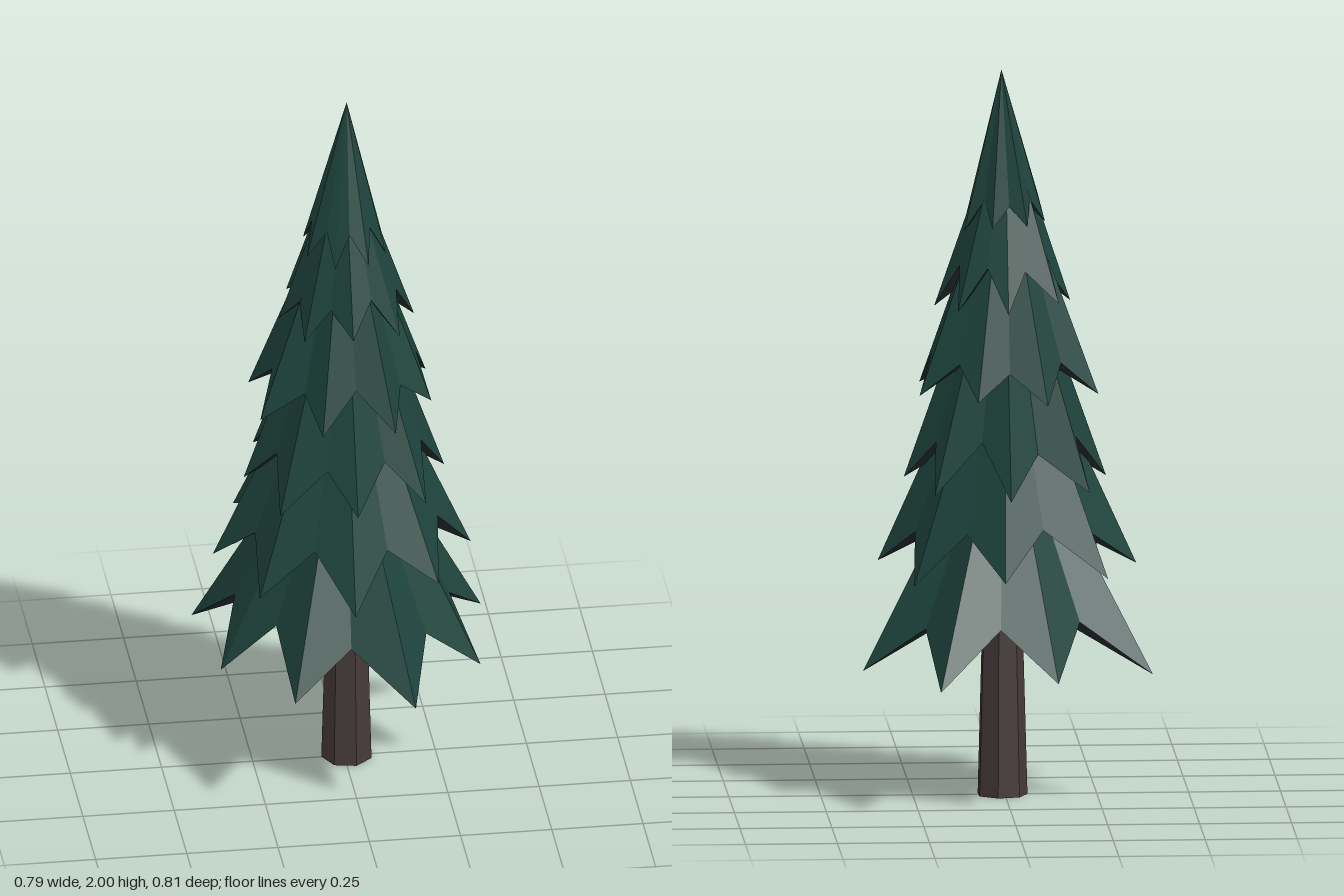
import * as THREE from 'three';

// Small repeatable jitter in the range -1..1
function makeJitter(seed) {
  let s = seed;
  return () => {
    s = (s * 16807) % 2147483647;
    return (s / 2147483647) * 2 - 1;
  };
}

// Star-shaped skirt: ridges run from the apex to low tips, valleys to higher notches
function starSkirt({ y, top, phase, radii, notch, lift, apex = [0, 0] }, jitter) {
  const ring = [];
  const step = (Math.PI * 2) / radii.length;
  const mean = radii.reduce((a, b) => a + b, 0) / radii.length;
  const point = (angle, r, h) => [Math.cos(angle) * r, h, Math.sin(angle) * r];
  radii.forEach((r, i) => {
    const a = THREE.MathUtils.degToRad(phase) + i * step;
    ring.push(point(a, r, y + jitter() * 0.015));
    ring.push(point(a + step * (0.5 + jitter() * 0.06), mean * notch * (1 + jitter() * 0.05), y + lift + jitter() * 0.02));
  });
  const peak = [apex[0], top, apex[1]];
  const hollow = [0, y + lift * 1.5, 0];
  const upper = [];
  const under = [];
  ring.forEach((p, i) => {
    const q = ring[(i + 1) % ring.length];
    upper.push(...peak, ...q, ...p);
    under.push(...hollow, ...p, ...q);
  });
  // Group 0 is the upper side, group 1 the shaded underside
  const geo = new THREE.BufferGeometry();
  geo.setAttribute('position', new THREE.Float32BufferAttribute([...upper, ...under], 3));
  geo.addGroup(0, upper.length / 3, 0);
  geo.addGroup(upper.length / 3, under.length / 3, 1);
  geo.computeVertexNormals();
  return geo;
}

export function createModel() {
  const tree = new THREE.Group();
  tree.name = 'pineTree';

  const material = (name, color) => {
    const m = new THREE.MeshStandardMaterial({ color, flatShading: true });
    m.name = name;
    return m;
  };
  const needles = material('needle green', 0x1e433c);
  const underside = material('underside charcoal', 0x22292a);
  const bark = material('bark brown', 0x453a39);

  // Tapered seven-sided trunk
  const trunk = new THREE.Mesh(new THREE.CylinderGeometry(0.048, 0.07, 0.8, 7), bark);
  trunk.name = 'trunk';
  trunk.position.set(0.008, 0.4, -0.003);
  trunk.rotation.y = 0.25;
  tree.add(trunk);

  // Branch layers from the widest at the bottom to the pointed crown
  const jitter = makeJitter(77);
  const around = (r) => Array.from({ length: 8 }, () => r * (1 + jitter() * 0.07));
  const layers = [
    { y: 0.36, top: 1.12, phase: -64, notch: 0.71, lift: 0.14,
      radii: [0.45, 0.416, 0.39, 0.432, 0.425, 0.375, 0.436, 0.384] },
    { y: 0.63, top: 1.42, phase: 3, notch: 0.73, lift: 0.125,
      radii: [0.345, 0.336, 0.376, 0.355, 0.357, 0.394, 0.376, 0.35] },
    { y: 0.87, top: 1.66, phase: 0, notch: 0.74, lift: 0.115, radii: around(0.295) },
    { y: 1.11, top: 1.8, phase: 21, notch: 0.75, lift: 0.1, radii: around(0.25) },
    { y: 1.36, top: 1.9, phase: 0, notch: 0.75, lift: 0.09, radii: around(0.187) },
    { y: 1.57, top: 2.0, phase: 20, notch: 0.76, lift: 0.08, radii: around(0.122), apex: [0.01, -0.02] },
  ];
  layers.forEach((layer, i) => {
    const mesh = new THREE.Mesh(starSkirt(layer, jitter), [needles, underside]);
    mesh.name = i === layers.length - 1 ? 'crown' : `branchLayer${i + 1}`;
    tree.add(mesh);
  });

  return tree;
}
